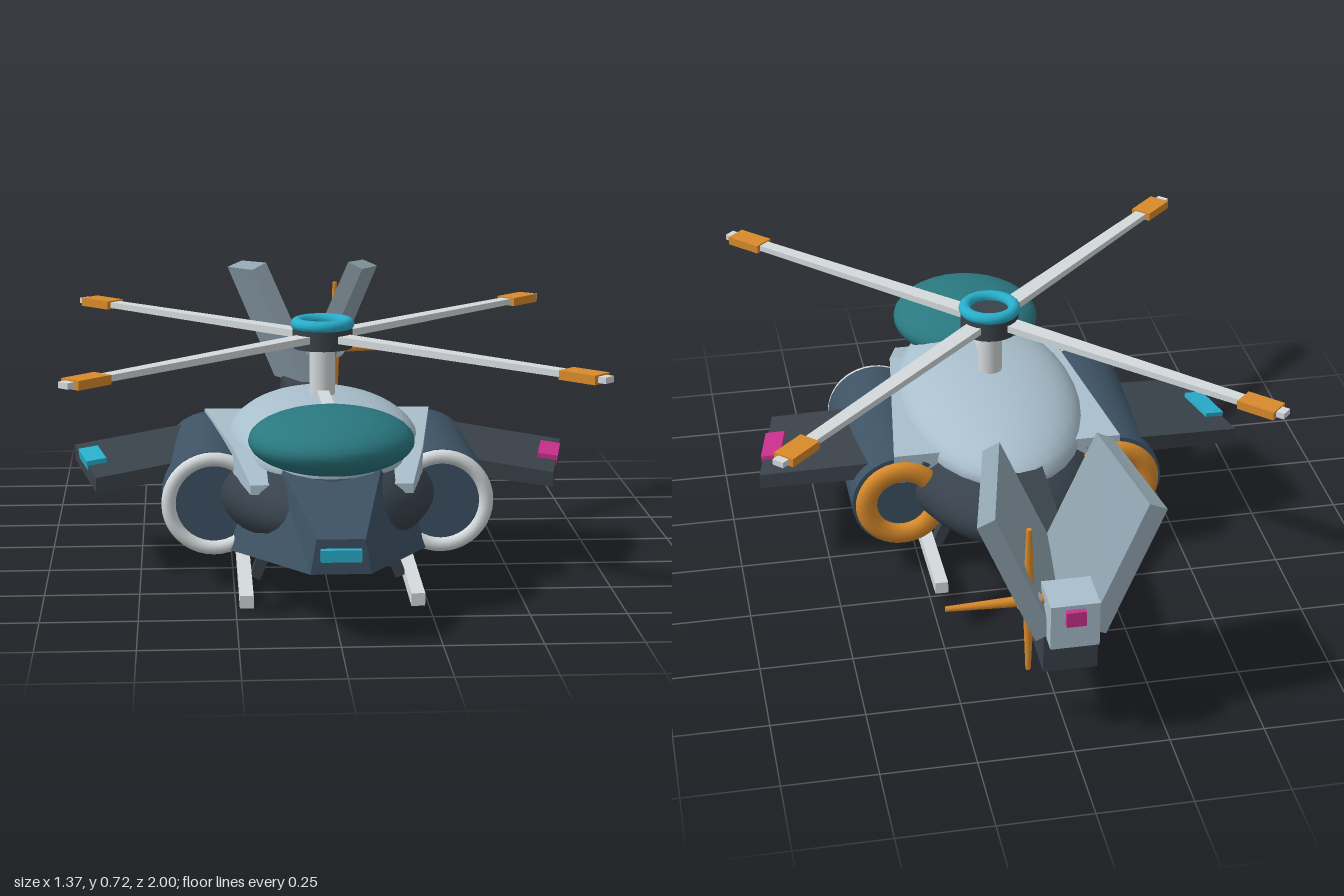
import * as THREE from 'three';

const paint = (color) => new THREE.MeshStandardMaterial({ color });
const M = {
  hull: paint(0x38424c), steel: paint(0x3d5264), wing: paint(0x3a424a), pale: paint(0xa9bfcc),
  fin: paint(0x8fa3ae), glass: paint(0x2a7880), white: paint(0xd4dadc), orange: paint(0xd98a2b),
  cyan: paint(0x28aecb), magenta: paint(0xc9308c),
};

// Solid between two matching loops, counter-clockwise seen from the front
function loft(back, front) {
  const n = back.length, pos = [];
  const tri = (...pts) => pts.forEach((p) => pos.push(...p));
  for (let i = 0; i < n; i++) {
    const j = (i + 1) % n;
    tri(back[i], back[j], front[j]);
    tri(back[i], front[j], front[i]);
    if (i > 0 && i < n - 1) {
      tri(front[0], front[i], front[i + 1]);
      tri(back[0], back[i + 1], back[i]);
    }
  }
  const g = new THREE.BufferGeometry();
  g.setAttribute('position', new THREE.Float32BufferAttribute(pos, 3));
  g.computeVertexNormals();
  return g;
}
const mirrorLoop = (loop, side) =>
  side > 0 ? loop : loop.map(([x, y, z]) => [-x, y, z]).reverse();
const sideLoft = (back, front, side) => loft(mirrorLoop(back, side), mirrorLoop(front, side));
// Rectangle loop at depth z
const rect = (x0, x1, y0, y1, z) => [[x0, y0, z], [x1, y0, z], [x1, y1, z], [x0, y1, z]];

export function createModel() {
  const model = new THREE.Group();
  const add = (name, geo, mat, x = 0, y = 0, z = 0, parent = model) => {
    const m = new THREE.Mesh(geo, mat);
    m.name = name;
    m.position.set(x, y, z);
    parent.add(m);
    return m;
  };
  const box = (name, w, h, d, mat, x, y, z, parent) =>
    add(name, new THREE.BoxGeometry(w, h, d), mat, x, y, z, parent);
  const ellipsoid = (name, rx, ry, rz, mat, x, y, z) =>
    add(name, new THREE.SphereGeometry(1, 32, 20).scale(rx, ry, rz), mat, x, y, z);
  // Square bar running between two points
  const bar = (name, a, b, w, h, mat) => {
    const from = new THREE.Vector3(...a), to = new THREE.Vector3(...b);
    const m = box(name, w, h, from.distanceTo(to), mat, 0, 0, 0);
    m.position.copy(from).lerp(to, 0.5);
    m.lookAt(to);
    return m;
  };

  // Fuselage
  ellipsoid('fuselage', 0.31, 0.165, 0.57, M.hull, 0, 0.25, 0.2);
  ellipsoid('upperShell', 0.26, 0.12, 0.47, M.pale, 0, 0.352, 0.2);
  ellipsoid('canopy', 0.215, 0.083, 0.225, M.glass, 0, 0.43, 0.585);
  add('nose', loft(
    [[-0.27, 0.1, 0.42], [0.27, 0.1, 0.42], [0.16, 0.4, 0.42], [-0.16, 0.4, 0.42]],
    [[-0.075, 0.18, 0.98], [0.075, 0.18, 0.98], [0.06, 0.268, 0.98], [-0.06, 0.268, 0.98]]), M.steel);
  box('noseLight', 0.1, 0.03, 0.03, M.cyan, 0, 0.23, 0.985);
  box('bellyLight', 0.07, 0.03, 0.4, M.cyan, 0, 0.075, 0.025);
  bar('roofSpine', [0, 0.472, 0.2], [0, 0.492, 0.68], 0.032, 0.026, M.white);

  // Tail
  add('tailBoom', loft(rect(-0.07, 0.07, 0.212, 0.32, -0.935), rect(-0.07, 0.07, 0.26, 0.385, -0.2)), M.wing);
  box('tailBlock', 0.125, 0.125, 0.12, M.pale, 0, 0.378, -0.925);
  box('tailLight', 0.05, 0.042, 0.03, M.magenta, 0, 0.408, -0.985);

  for (const s of [1, -1]) {
    const side = s > 0 ? 'left' : 'right';

    // Tail fin, leaning out and toed out to the rear
    add(side + 'TailFin', sideLoft(
      [[0.045, 0.33, -0.935], [0.09, 0.31, -0.935], [0.237, 0.662, -0.935], [0.192, 0.682, -0.935]],
      [[-0.03, 0.36, -0.635], [0.015, 0.34, -0.635], [0.168, 0.695, -0.635], [0.125, 0.717, -0.635]], s), M.fin);

    // Nacelle with intake and exhaust rings
    add(side + 'Nacelle', new THREE.CylinderGeometry(0.138, 0.138, 0.53, 32).rotateX(Math.PI / 2),
      M.steel, s * 0.302, 0.23, 0.165);
    add(side + 'IntakeRing', new THREE.TorusGeometry(0.12, 0.019, 12, 40), M.white, s * 0.302, 0.228, 0.435);
    add(side + 'ExhaustRing', new THREE.TorusGeometry(0.1, 0.03, 12, 40).scale(1, 1, 0.7),
      M.orange, s * 0.302, 0.23, -0.11);

    // Shoulder fairing joining nacelle and shell
    add(side + 'Shoulder', sideLoft(rect(0.17, 0.32, 0.29, 0.375, -0.1), rect(0.15, 0.25, 0.31, 0.38, 0.45), s), M.pale);
    add(side + 'ShoulderTip', sideLoft(rect(0.15, 0.25, 0.31, 0.38, 0.45), rect(0.13, 0.21, 0.295, 0.32, 0.62), s), M.pale);

    // Stub wing and its marker light
    add(side + 'Wing', sideLoft(
      [[0.3, 0.3, -0.08], [0.685, 0.255, 0], [0.685, 0.297, 0], [0.3, 0.35, -0.08]],
      [[0.3, 0.275, 0.28], [0.615, 0.24, 0.345], [0.615, 0.28, 0.345], [0.3, 0.325, 0.28]], s), M.wing);
    const light = box(side + 'WingLight', 0.055, 0.026, 0.14, s > 0 ? M.magenta : M.cyan, s * 0.63, 0.292, 0.15);
    light.rotation.set(0.04, -s * 0.2, -s * 0.12);

    // Landing skid and struts
    bar(side + 'Skid', [s * 0.222, 0.054, -0.29], [s * 0.222, 0.018, 0.65], 0.036, 0.034, M.white);
    for (const [z, y] of [[-0.03, 0.035], [0.43, 0.025]])
      bar(side + 'SkidStrut', [s * 0.195, y, z], [s * 0.14, 0.16, z], 0.03, 0.03, M.wing);
  }

  // Main rotor
  add('mast', new THREE.CylinderGeometry(0.035, 0.035, 0.2, 24), M.white, 0, 0.53, 0.178);
  const rotor = new THREE.Group();
  rotor.name = 'mainRotor';
  rotor.position.set(0, 0.63, 0.178);
  model.add(rotor);
  add('hub', new THREE.CylinderGeometry(0.082, 0.082, 0.06, 28), M.wing, 0, 0, 0, rotor);
  add('hubRing', new THREE.TorusGeometry(0.07, 0.017, 12, 36).rotateX(Math.PI / 2), M.cyan, 0, 0.035, 0, rotor);
  for (let i = 0; i < 4; i++) {
    const blade = new THREE.Group();
    blade.name = 'blade';
    blade.rotation.y = Math.PI / 4 + i * Math.PI / 2;
    rotor.add(blade);
    add('bladeSpar', loft(rect(-0.025, 0.025, -0.01, 0.01, 0.04), rect(-0.017, 0.017, -0.008, 0.008, 0.95)), M.white, 0, 0, 0, blade);
    box('bladeTip', 0.062, 0.024, 0.11, M.orange, 0, 0, 0.872, blade);
  }

  // Tail rotor
  const tailRotor = new THREE.Group();
  tailRotor.name = 'tailRotor';
  tailRotor.position.set(0.1, 0.407, -0.893);
  model.add(tailRotor);
  add('tailRotorHub', new THREE.SphereGeometry(0.034, 20, 14), M.white, 0, 0, 0, tailRotor);
  for (let i = 0; i < 4; i++) {
    const g = new THREE.CylinderGeometry(0.007, 0.014, 0.18, 8).translate(0, 0.12, 0);
    add('tailRotorBlade', g, M.orange, 0, 0, 0, tailRotor).rotation.z = i * Math.PI / 2;
  }
  return model;
}
